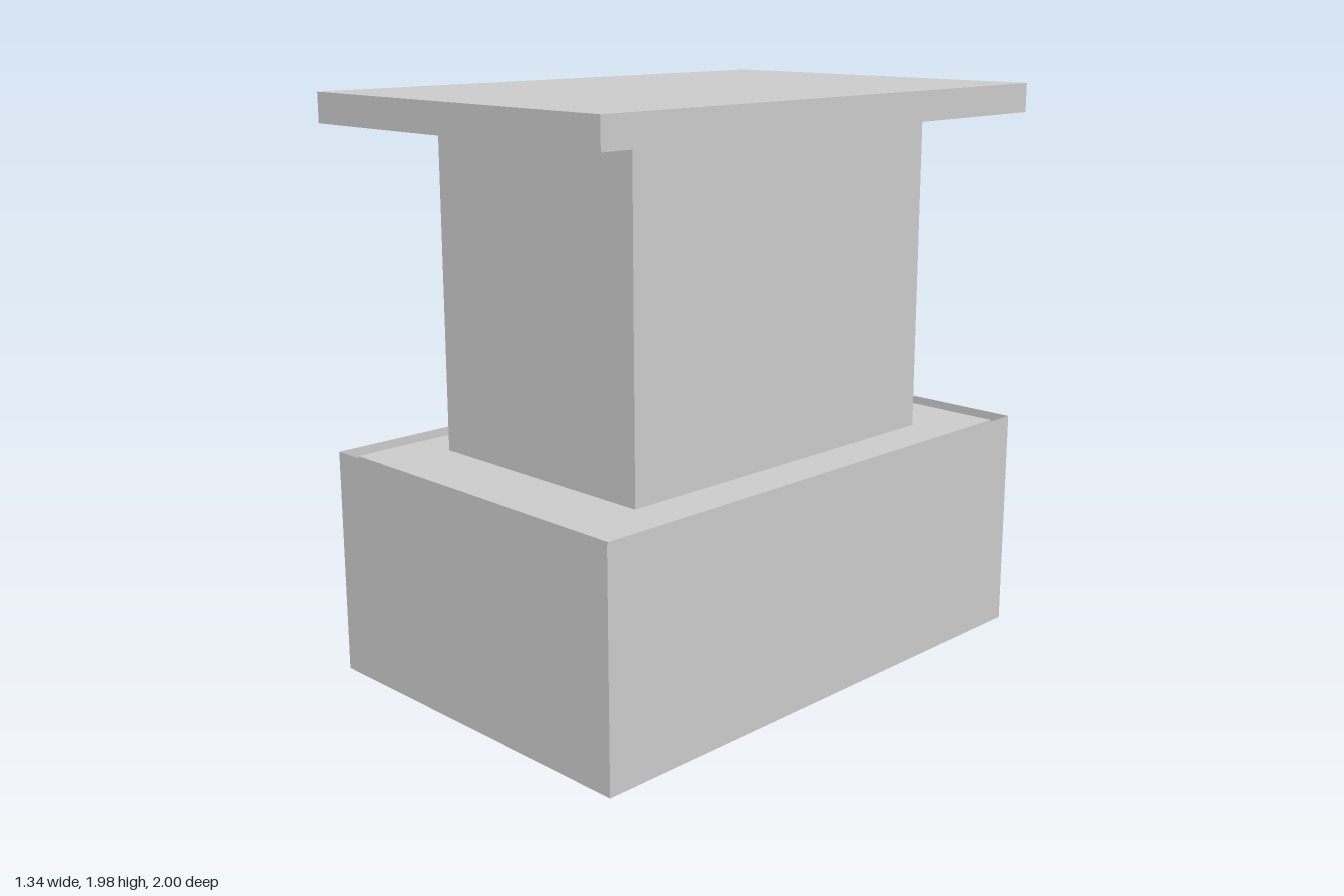
import * as THREE from 'three';

export function createModel() {
  const group = new THREE.Group();
  const grey = new THREE.MeshStandardMaterial({ color: 0xcccccc });
  const sheet = new THREE.MeshStandardMaterial({ color: 0xcccccc, side: THREE.DoubleSide });

  // Box spanning the heights y0 to y1, centred on the vertical axis
  const addBox = (name, width, depth, y0, y1) => {
    const mesh = new THREE.Mesh(new THREE.BoxGeometry(width, y1 - y0, depth), grey);
    mesh.name = name;
    mesh.position.y = (y0 + y1) / 2;
    group.add(mesh);
  };

  addBox('tabletop', 1.34, 2, 1.875, 1.975);
  addBox('column', 0.92, 1.375, 0.765, 1.875);
  addBox('baseCore', 1.24, 1.89, 0.04, 0.765);

  // Thin open skirt standing just clear of the base core
  const skirt = new THREE.Group();
  skirt.name = 'baseSkirt';
  const width = 1.33, depth = 1.98, height = 0.78;
  for (let i = 0; i < 4; i++) {
    const angle = (i * Math.PI) / 2;
    const [length, reach] = i % 2 ? [depth, width / 2] : [width, depth / 2];
    const panel = new THREE.Mesh(new THREE.PlaneGeometry(length, height), sheet);
    panel.name = 'skirtPanel';
    panel.rotation.y = angle;
    panel.position.set(Math.sin(angle) * reach, height / 2, Math.cos(angle) * reach);
    skirt.add(panel);
  }
  group.add(skirt);

  return group;
}
